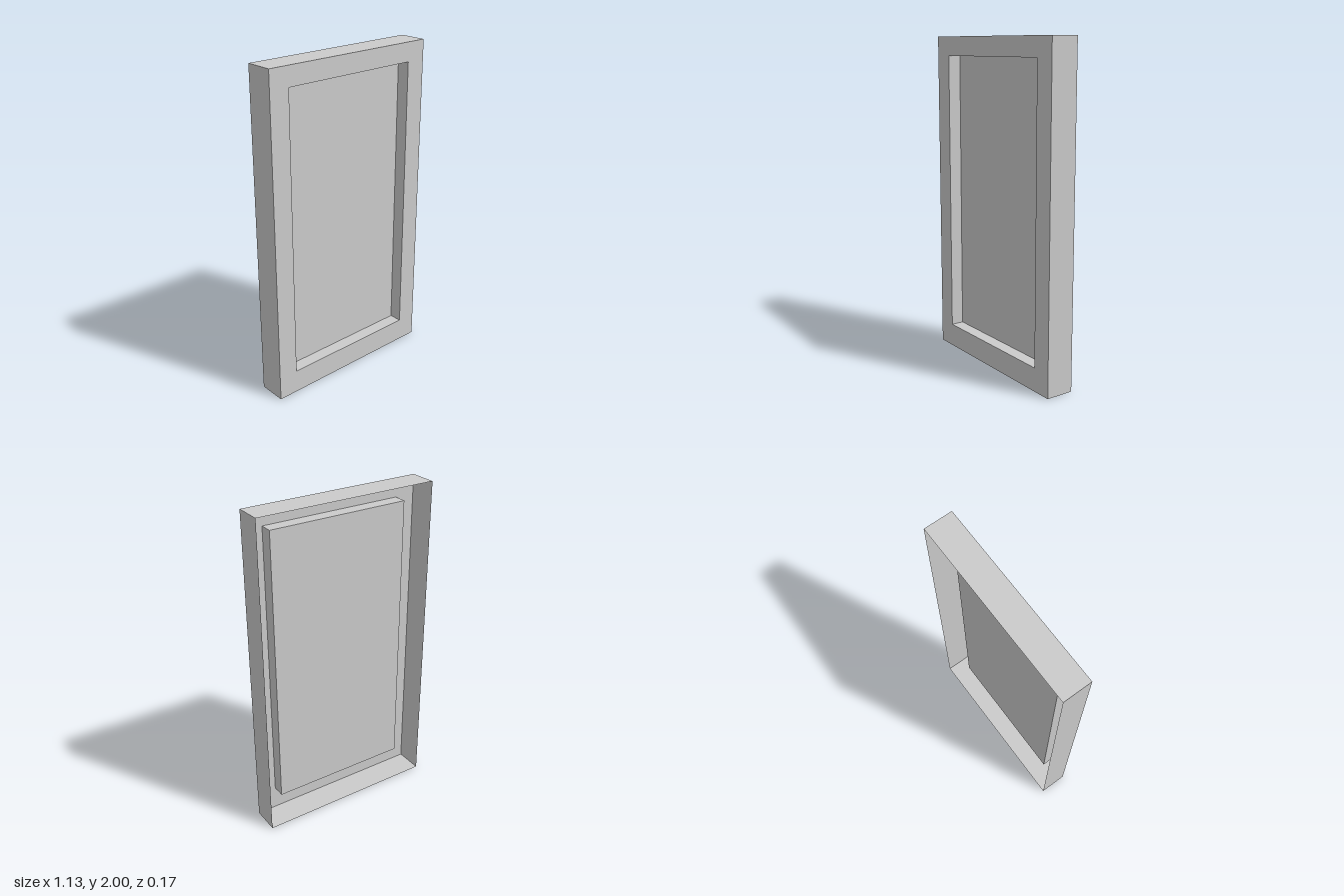
import * as THREE from 'three';

const material = new THREE.MeshStandardMaterial({ color: 0xcccccc, side: THREE.DoubleSide });

const HALF_W = 0.565, HEIGHT = 2, HALF_D = 0.086;
const RECESS = { half: 0.441, bottom: 0.144, top: 1.884, depth: 0.08 };

// Four corners of an upright rectangle, counter-clockwise seen from the front
const rect = (half, bottom, top, z) => [
  [-half, bottom, z], [half, bottom, z], [half, top, z], [-half, top, z],
];

// Flat-faced band joining two rectangles
function band(name, a, b) {
  const points = [];
  for (let i = 0; i < 4; i++) {
    const j = (i + 1) % 4;
    points.push(a[i], a[j], b[j], a[i], b[j], b[i]);
  }
  const geometry = new THREE.BufferGeometry();
  geometry.setAttribute('position', new THREE.Float32BufferAttribute(points.flat(), 3));
  geometry.computeVertexNormals();
  const mesh = new THREE.Mesh(geometry, material);
  mesh.name = name;
  return mesh;
}

export function createModel() {
  const group = new THREE.Group();
  group.name = 'recessedPanel';

  const { half, bottom, top, depth } = RECESS;
  const panelZ = HALF_D - depth;
  const backEdge = rect(HALF_W, 0, HEIGHT, -HALF_D);
  const frontEdge = rect(HALF_W, 0, HEIGHT, HALF_D);
  const opening = rect(half, bottom, top, HALF_D);
  const recessFloor = rect(half, bottom, top, panelZ);

  // Thin shell, open at the back
  group.add(
    band('outerWalls', backEdge, frontEdge),
    band('frontFrame', frontEdge, opening),
    band('recessWalls', opening, recessFloor),
  );

  // Sunken centre panel
  const panel = new THREE.Mesh(new THREE.PlaneGeometry(2 * half, top - bottom), material);
  panel.name = 'centrePanel';
  panel.position.set(0, (top + bottom) / 2, panelZ);
  group.add(panel);

  return group;
}
